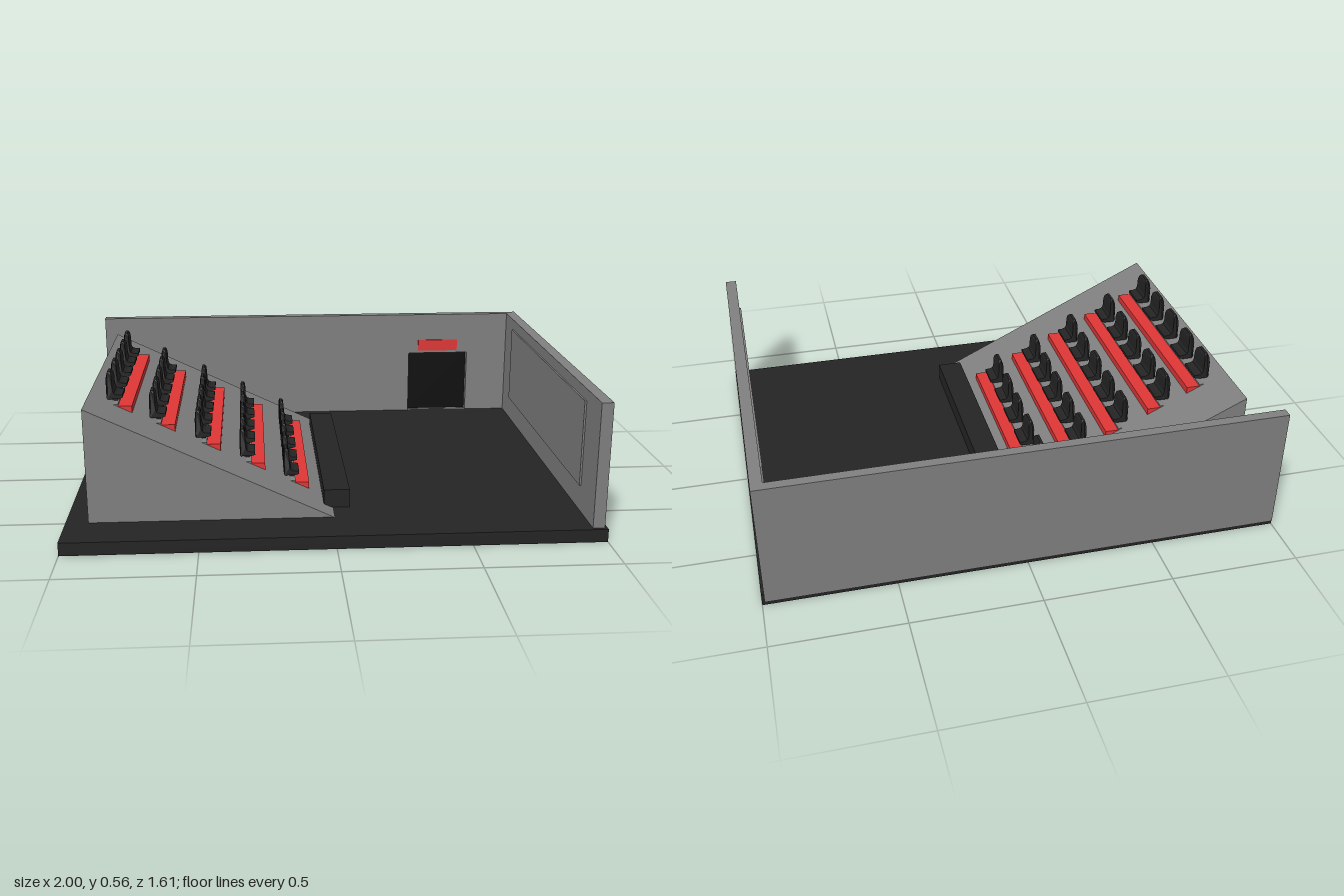
import * as THREE from 'three';

const material = (color) => new THREE.MeshStandardMaterial({ color, flatShading: true });
const grey = material(0x808080);
const charcoal = material(0x242424);
const black = material(0x0c0c0c);
const red = material(0xe03636);

// Box given by its low and high bounds on each axis
function box(name, mat, [x0, x1], [y0, y1], [z0, z1]) {
  const mesh = new THREE.Mesh(new THREE.BoxGeometry(x1 - x0, y1 - y0, z1 - z0), mat);
  mesh.position.set((x0 + x1) / 2, (y0 + y1) / 2, (z0 + z1) / 2);
  mesh.name = name;
  return mesh;
}

const polygon = (points) => new THREE.Shape(points.map(([x, y]) => new THREE.Vector2(x, y)));

// Side profile in x and y, extruded from z0 to z1
function prism(name, mat, shape, z0, z1) {
  const geometry = new THREE.ExtrudeGeometry(shape, { depth: z1 - z0, bevelEnabled: false });
  geometry.translate(0, 0, z0);
  const mesh = new THREE.Mesh(geometry, mat);
  mesh.name = name;
  return mesh;
}

// Curved L-shaped seat shell whose backrest narrows to a rounded top
function seatGeometry() {
  const shape = polygon([
    [0.004, 0], [0.045, 0], [0.06, 0.005], [0.06, 0.016], [0.04, 0.017], [0.028, 0.022],
    [0.023, 0.034], [0.022, 0.07], [0.02, 0.09], [0.015, 0.102], [0.004, 0.102],
    [0.001, 0.09], [0, 0.07], [0, 0.008],
  ]);
  const geometry = new THREE.ExtrudeGeometry(shape, { depth: 0.1, bevelEnabled: false });
  geometry.translate(0, 0, -0.05);
  const p = geometry.attributes.position;
  for (let i = 0; i < p.count; i++) {
    const t = Math.max(0, (p.getY(i) - 0.07) / 0.032);
    p.setZ(i, p.getZ(i) * (1 - 0.45 * t * t));
  }
  geometry.computeVertexNormals();
  return geometry;
}

export function createModel() {
  const model = new THREE.Group();
  model.name = 'auditorium';

  model.add(box('floor', charcoal, [-1, 1], [0, 0.05], [-0.785, 0.805]));

  // Back wall with a recessed doorway
  const wall = polygon([[-0.99, 0.03], [0.99, 0.03], [0.99, 0.53], [-0.99, 0.53]]);
  wall.holes.push(new THREE.Path(
    [[0.47, 0.05], [0.47, 0.34], [0.755, 0.34], [0.755, 0.05]].map(([x, y]) => new THREE.Vector2(x, y))));
  model.add(prism('backWall', grey, wall, -0.8, -0.765));
  model.add(box('backWallSkin', grey, [-0.99, 0.99], [0.03, 0.53], [-0.805, -0.8]));
  model.add(box('doorway', black, [0.47, 0.755], [0.05, 0.34], [-0.8, -0.797]));
  model.add(box('doorSign', red, [0.515, 0.705], [0.352, 0.405], [-0.765, -0.76]));

  // Side wall with the projection screen
  model.add(box('sideWall', grey, [0.945, 0.99], [0.03, 0.53], [-0.765, 0.79]));
  model.add(box('screen', grey, [0.938, 0.945], [0.15, 0.485], [-0.61, 0.61]));

  // Sloped seating platform and the barrier at its foot
  const ramp = polygon([[-0.915, 0.045], [0.02, 0.045], [-0.003, 0.052], [-0.915, 0.49]]);
  model.add(prism('seatingRamp', grey, ramp, -0.605, 0.62));
  model.add(box('frontBarrier', charcoal, [-0.03, 0.07], [0.05, 0.122], [-0.5, 0.52]));

  // Rows of seats, each with a carpeted step in front
  const seat = seatGeometry();
  const rows = [[-0.853, 0.46], [-0.693, 0.382], [-0.521, 0.3], [-0.35, 0.219], [-0.179, 0.136]];
  for (const [x, y] of rows) {
    const row = new THREE.Group();
    row.name = 'seatRow';
    row.position.set(x, y, 0);
    row.add(box('redStep', red, [0.045, 0.098], [-0.046, -0.019], [-0.405, 0.415]));
    row.add(box('seatTread', grey, [0.012, 0.045], [-0.04, -0.012], [-0.405, 0.415]));
    for (const z of [-0.33, -0.17, 0, 0.165, 0.335]) {
      const chair = new THREE.Mesh(seat, charcoal);
      chair.name = 'seat';
      chair.position.z = z;
      row.add(chair);
      row.add(box('seatFoot', charcoal, [0.012, 0.04], [-0.02, 0.002], [z - 0.025, z + 0.025]));
    }
    model.add(row);
  }
  return model;
}
